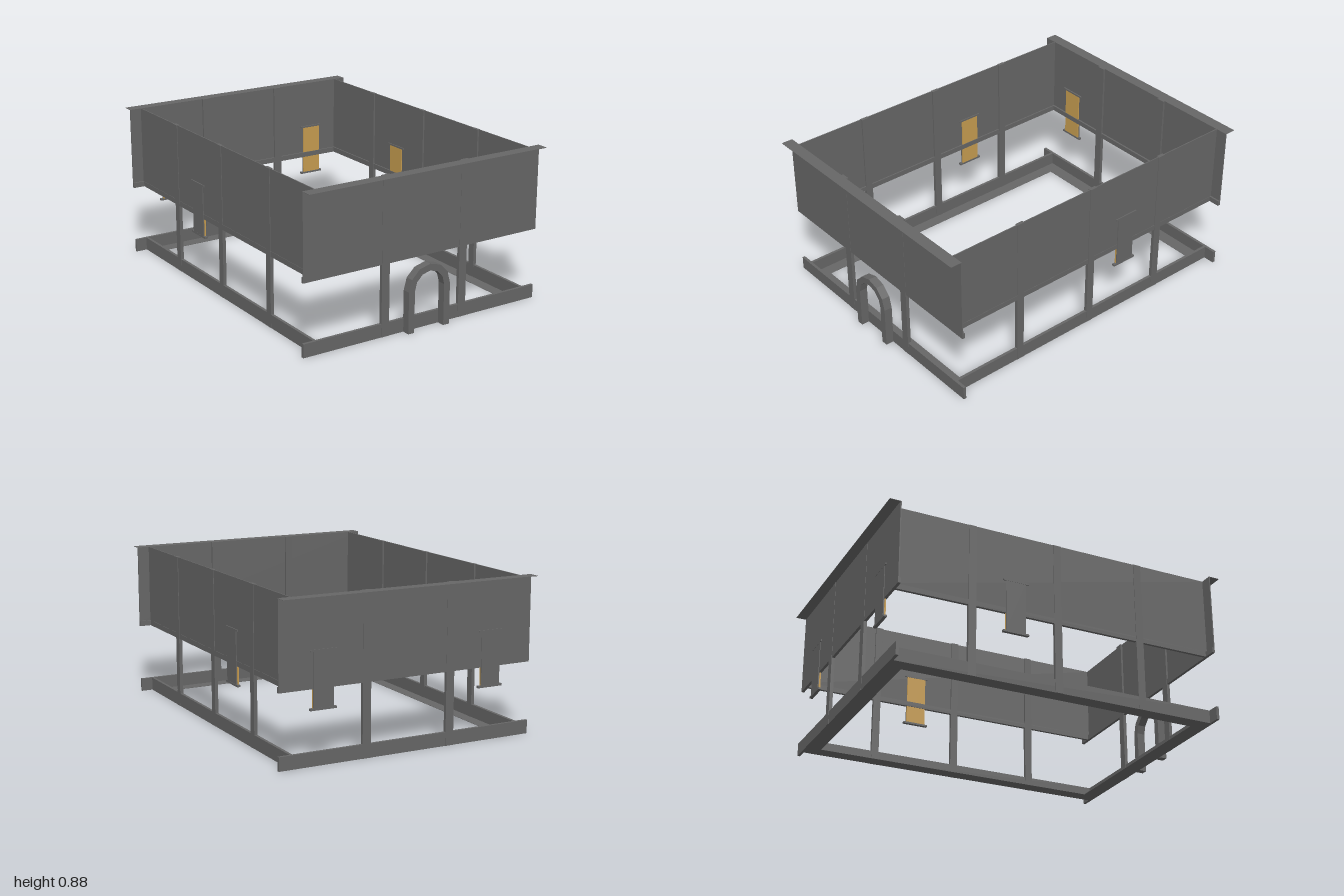
import * as THREE from 'three';

export function createModel() {
  const model = new THREE.Group();
  model.name = 'buildingShell';
  const grey = new THREE.MeshStandardMaterial({ color: 0x666666 });
  grey.name = 'stoneGrey';
  const gold = new THREE.MeshStandardMaterial({ color: 0xc69c50 });
  gold.name = 'doorGold';

  // Box given by its size and centre in x and z, and its bottom and top in y
  function box(parent, name, material, x, z, w, d, y0, y1) {
    const mesh = new THREE.Mesh(new THREE.BoxGeometry(w, y1 - y0, d), material);
    mesh.position.set(x, (y0 + y1) / 2, z);
    mesh.name = name;
    parent.add(mesh);
    return mesh;
  }

  const TOP = 0.875, TRIM = 0.4, WALL = 0.43, BASE = 0.075;

  // Narrow panel with a sill and lintel, outside facing local +z
  function panel(x, z, turn) {
    const g = new THREE.Group();
    g.name = 'hangingPanel';
    box(g, 'panelOuter', grey, 0, 0.002, 0.115, 0.006, 0.3, 0.595);
    box(g, 'panelInner', gold, 0, -0.0065, 0.115, 0.009, 0.3, 0.595);
    box(g, 'panelSill', grey, 0, -0.003, 0.15, 0.018, 0.289, 0.3);
    box(g, 'panelLintel', grey, 0, -0.003, 0.15, 0.018, 0.59, 0.6);
    g.position.set(x, 0, z);
    g.rotation.y = turn;
    model.add(g);
  }

  for (const s of [-1, 1]) {
    // Front and back walls, which run past the corners
    box(model, 'endBase', grey, 0, s * 0.932, 1.5, 0.016, 0, BASE);
    box(model, 'endTrim', grey, 0, s * 0.932, 1.5, 0.016, TRIM, WALL);
    box(model, 'endWall', grey, 0, s * 0.937, 1.5, 0.006, WALL, TOP);
    box(model, 'endCap', grey, 0, s * 0.969, 1.5, 0.062, TOP - 0.002, TOP);
    box(model, 'endFooting', grey, 0, s * 0.888, 1.36, 0.076, 0, 0.002);
    for (const x of [-0.25, 0.25])
      box(model, 'endPost', grey, x, s * 0.932, 0.048, 0.019, 0, TOP);

    // Side walls
    box(model, 'sideBase', grey, s * 0.676, 0, 0.016, 1.85, 0, BASE);
    box(model, 'sideTrim', grey, s * 0.676, 0, 0.016, 1.85, TRIM, WALL);
    box(model, 'sideWall', grey, s * 0.679, 0, 0.006, 1.87, WALL, TOP);
    box(model, 'sideFooting', grey, s * 0.638, 0, 0.076, 1.7, 0, 0.002);
    for (const z of [-0.5, 0, 0.5])
      box(model, 'sidePost', grey, s * 0.676, z, 0.019, 0.044, 0, TOP);

    // Hanging panels on the back and on each side
    panel(s * 0.5, -0.938, Math.PI);
    panel(s * 0.682, -0.25, s * Math.PI / 2);
  }

  // Faceted entrance arch
  const outline = [];
  const arc = (r, from, to) => {
    for (let i = 0; i <= 6; i++) {
      const a = from + (to - from) * i / 6;
      outline.push(new THREE.Vector2(r * Math.cos(a), 0.232 + r * Math.sin(a)));
    }
  };
  outline.push(new THREE.Vector2(0.133, 0));
  arc(0.133, 0, Math.PI);
  outline.push(new THREE.Vector2(-0.133, 0), new THREE.Vector2(-0.095, 0));
  arc(0.095, Math.PI, 0);
  outline.push(new THREE.Vector2(0.095, 0));
  const arch = new THREE.Mesh(
    new THREE.ExtrudeGeometry(new THREE.Shape(outline), { depth: 0.047, bevelEnabled: false }), grey);
  arch.position.z = 0.938;
  arch.name = 'entranceArch';
  model.add(arch);

  return model;
}
